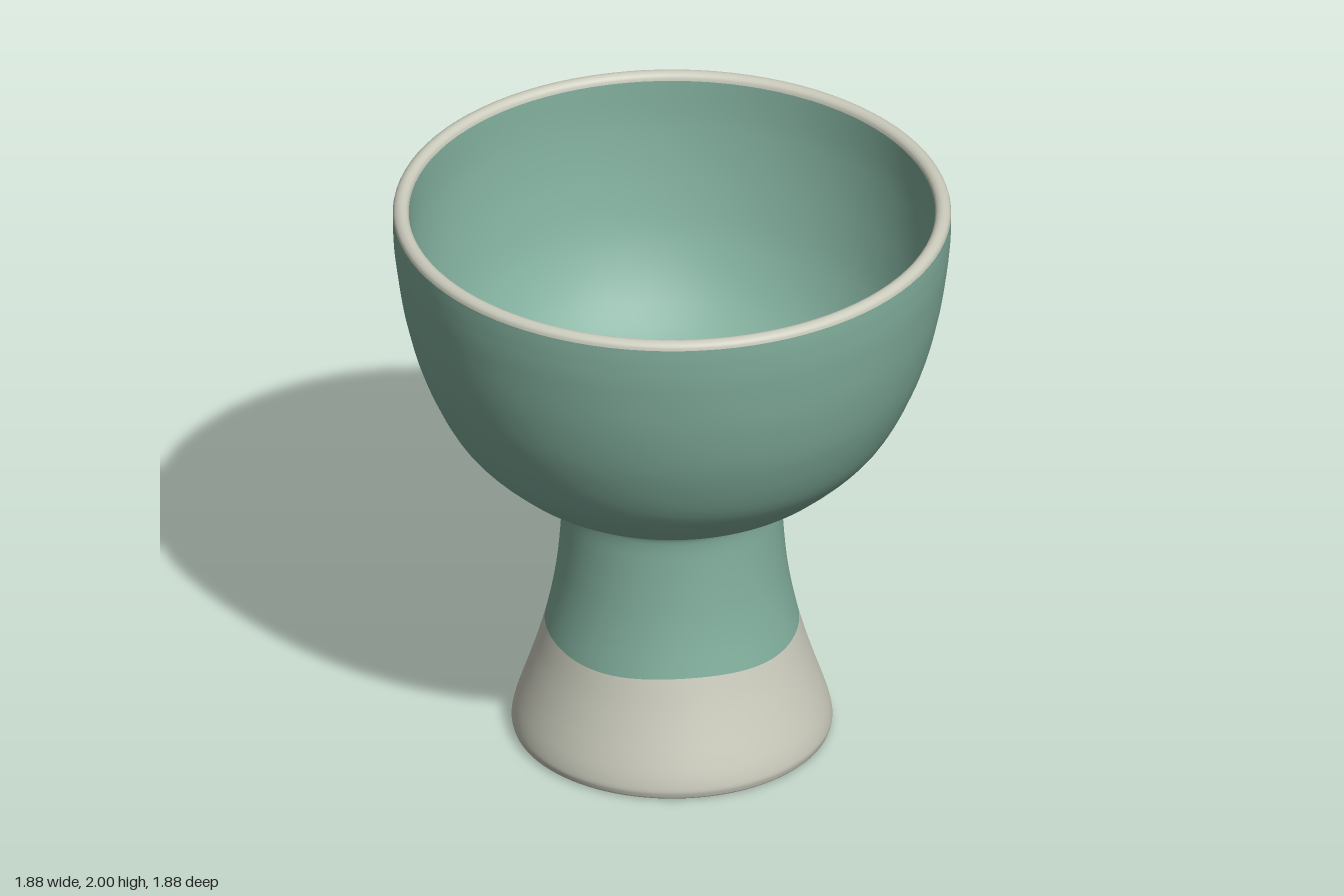
import * as THREE from 'three';

const SEGMENTS = 96;
const GLAZE_Y = 0.4; // mean height of the glaze edge on the stem

// Turn a profile of [radius, height] points; smooth ones are run through a spline.
function turn(name, points, material, samples = 0) {
  let pts = points.map(([r, y]) => new THREE.Vector2(r, y));
  if (samples) {
    pts = new THREE.SplineCurve(pts).getPoints(samples);
  }
  const mesh = new THREE.Mesh(new THREE.LatheGeometry(pts, SEGMENTS), material);
  mesh.name = name;
  return mesh;
}

// Give the glaze edge a slight hand-dipped wave, following the stem's slope.
function waveGlazeEdge(mesh) {
  const pos = mesh.geometry.attributes.position;
  for (let i = 0; i < pos.count; i++) {
    if (Math.abs(pos.getY(i) - GLAZE_Y) > 1e-5) continue;
    const x = pos.getX(i), z = pos.getZ(i), a = Math.atan2(x, z);
    const dy = -0.007 * Math.cos(4 * a + 0.4) + 0.002 * Math.sin(a);
    const s = 1 - (0.23 * dy) / Math.hypot(x, z);
    pos.setXYZ(i, x * s, GLAZE_Y + dy, z * s);
  }
}

export function createModel() {
  const glaze = new THREE.MeshStandardMaterial({ color: 0x82af9d });
  glaze.name = 'green glaze';
  const clay = new THREE.MeshStandardMaterial({ color: 0xcacbbc });
  clay.name = 'bare clay';

  const group = new THREE.Group();
  group.name = 'footedCup';

  // Flared foot, bare up to the glaze edge
  const foot = turn('foot', [
    [0.537, 0.015], [0.54, 0.035], [0.531, 0.08], [0.512, 0.14],
    [0.488, 0.21], [0.457, 0.305], [0.43, GLAZE_Y],
  ], clay, 30);

  // Glazed stem flowing into the bowl
  const stemAndBowl = turn('stemAndBowl', [
    [0.43, GLAZE_Y], [0.408, 0.5], [0.391, 0.6], [0.38, 0.7], [0.373, 0.8],
    [0.371, 0.88], [0.38, 0.922], [0.412, 0.95], [0.5, 0.99], [0.6, 1.055],
    [0.74, 1.2], [0.84, 1.4], [0.898, 1.6], [0.93, 1.8], [0.939, 1.91], [0.94, 1.975],
  ], glaze, 90);
  [foot, stemAndBowl].forEach(waveGlazeEdge);

  // Rounded bare rim
  const rim = turn('rim', [
    [0.94, 1.975], [0.936, 1.988], [0.925, 1.997], [0.912, 2],
    [0.9, 1.997], [0.89, 1.988], [0.886, 1.975],
  ], clay, 18);

  // Inside of the bowl
  const bowlInside = turn('bowlInside', [
    [0.886, 1.975], [0.878, 1.8], [0.846, 1.6], [0.788, 1.4], [0.69, 1.23],
    [0.54, 1.1], [0.36, 1.025], [0.18, 0.995], [0, 0.99],
  ], glaze, 60);

  // Foot ring, recessed base and vent hole
  const footRing = turn('footRing', [
    [0.478, 0.05], [0.481, 0.02], [0.49, 0.004], [0.503, 0],
    [0.522, 0], [0.533, 0.005], [0.537, 0.015],
  ], clay, 18);
  const base = turn('base', [[0.05, 0.05], [0.478, 0.05]], clay);
  const ventWall = turn('ventWall', [[0.05, 0.13], [0.05, 0.05]], clay);
  const ventEnd = turn('ventEnd', [[0, 0.13], [0.05, 0.13]], clay);

  group.add(foot, stemAndBowl, rim, bowlInside, footRing, base, ventWall, ventEnd);
  return group;
}
